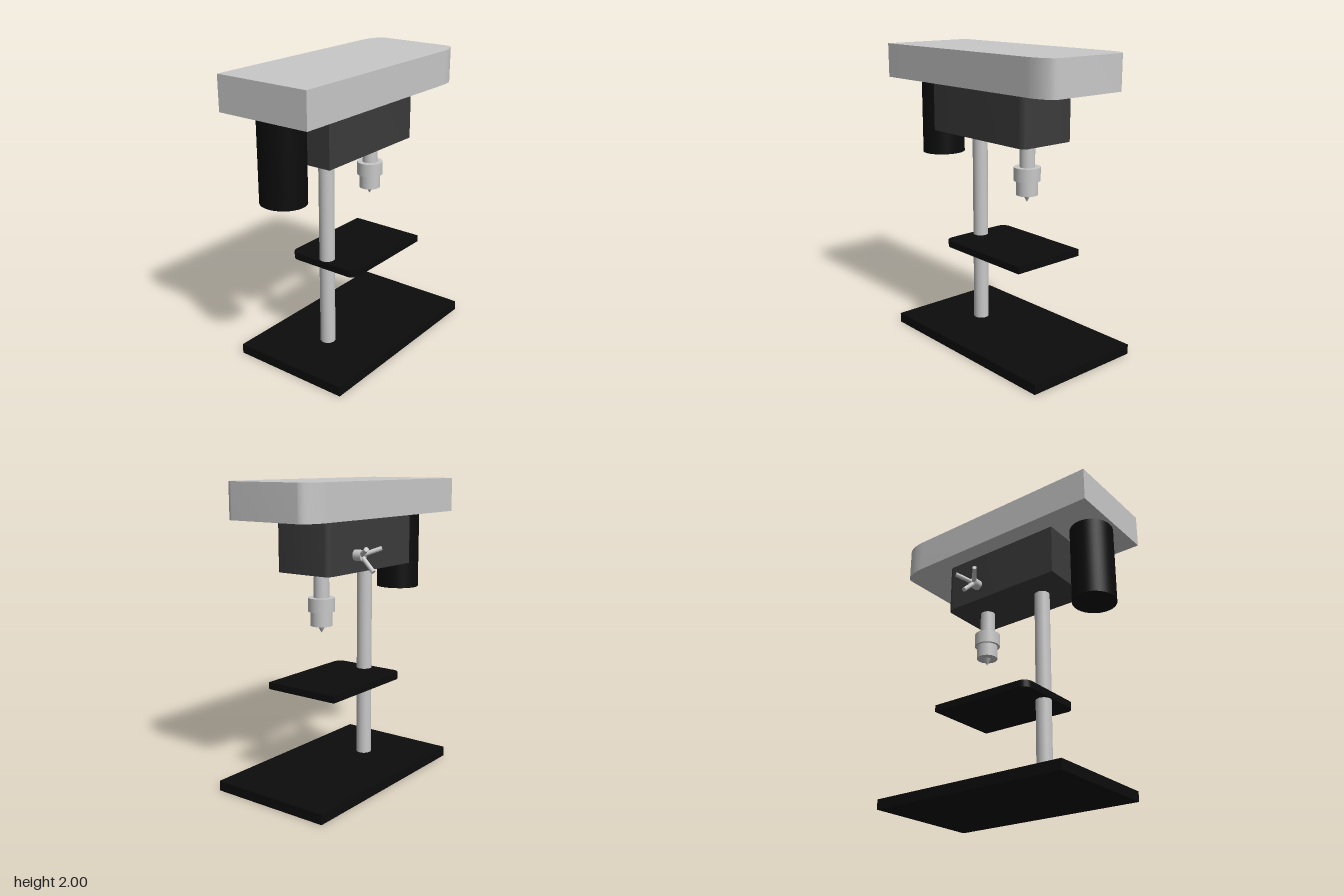
import * as THREE from 'three';
import { toCreasedNormals } from 'three/addons/utils/BufferGeometryUtils.js';

const mat = (name, color) => new THREE.MeshStandardMaterial({ name, color });

// Horizontal slab with two elliptical corners on the +x end (rx, rz = corner size)
function slab(x0, x1, y0, y1, halfZ, rx = 0, rz = 0) {
  const s = new THREE.Shape();
  s.moveTo(x0, -halfZ);
  s.lineTo(x1 - rx, -halfZ);
  if (rx) s.absellipse(x1 - rx, -halfZ + rz, rx, rz, -Math.PI / 2, 0, false);
  s.lineTo(x1, halfZ - rz);
  if (rx) s.absellipse(x1 - rx, halfZ - rz, rx, rz, 0, Math.PI / 2, false);
  s.lineTo(x0, halfZ);
  s.closePath();
  const g = new THREE.ExtrudeGeometry(s, { depth: y1 - y0, bevelEnabled: false, curveSegments: 14 });
  g.rotateX(-Math.PI / 2).translate(0, y0, 0);
  return toCreasedNormals(g, 0.6);
}

// Upright cylinder between two heights
function post(x, y0, y1, rTop, rBottom = rTop) {
  return new THREE.CylinderGeometry(rTop, rBottom, y1 - y0, 40).translate(x, (y0 + y1) / 2, 0);
}

export function createModel() {
  const model = new THREE.Group();
  model.name = 'drillPress';
  const silver = mat('silver', 0xc8c8c8);
  const charcoal = mat('charcoal', 0x3b3b3b);
  const black = mat('black', 0x0c0c0c);

  const add = (name, geometry, material, parent = model) => {
    const mesh = new THREE.Mesh(geometry, material);
    mesh.name = name;
    parent.add(mesh);
    return mesh;
  };

  // Base, column and work table (the table is rounded on its column end)
  add('base', slab(-0.635, 0.8, 0, 0.067, 0.426), black);
  add('column', post(-0.223, 0.06, 1.43, 0.052), silver);
  const table = slab(-0.475, 0.283, 0.643, 0.69, 0.27, 0.06, 0.06);
  add('table', table.rotateY(Math.PI), black);

  // Head housing and belt cover
  add('headHousing', slab(-0.455, 0.45, 1.423, 1.769, 0.213, 0.05, 0.04), charcoal);
  add('beltCover', slab(-0.804, 0.79, 1.769, 2, 0.341, 0.18, 0.085), silver);

  // Motor hanging behind the head
  const motor = add('motor', new THREE.CylinderGeometry(1, 1, 0.546, 48), black);
  motor.scale.set(0.144, 1, 0.153);
  motor.position.set(-0.637, 1.497, 0);

  // Spindle, chuck and bit
  const spindle = new THREE.Group();
  spindle.name = 'spindle';
  model.add(spindle);
  add('quill', post(0.255, 1.25, 1.43, 0.051), silver, spindle);
  add('chuckCollar', post(0.255, 1.165, 1.255, 0.088), silver, spindle);
  add('chuckBody', post(0.255, 1.07, 1.165, 0.072), silver, spindle);
  add('bit', post(0.255, 1.02, 1.07, 0.027, 0), silver, spindle);

  // Feed handle: hub on the back face with three splayed arms
  const handle = new THREE.Group();
  handle.name = 'feedHandle';
  handle.position.set(0.173, 1.536, -0.21);
  model.add(handle);
  const hub = new THREE.CylinderGeometry(0.036, 0.036, 0.07, 28).rotateX(Math.PI / 2);
  add('handleHub', hub.translate(0, 0, -0.028), silver, handle);
  for (let i = 0; i < 3; i++) {
    const a = -Math.PI / 2 + 0.04 + (i * Math.PI * 2) / 3;
    const from = new THREE.Vector3(0, 0, -0.045);
    const to = new THREE.Vector3(Math.cos(a) * 0.097, Math.sin(a) * 0.097, -0.145);
    const dir = to.clone().sub(from);
    const arm = add('handleArm', new THREE.CylinderGeometry(0.015, 0.015, dir.length(), 16), silver, handle);
    arm.position.copy(from).addScaledVector(dir, 0.5);
    arm.quaternion.setFromUnitVectors(new THREE.Vector3(0, 1, 0), dir.normalize());
  }
  return model;
}
